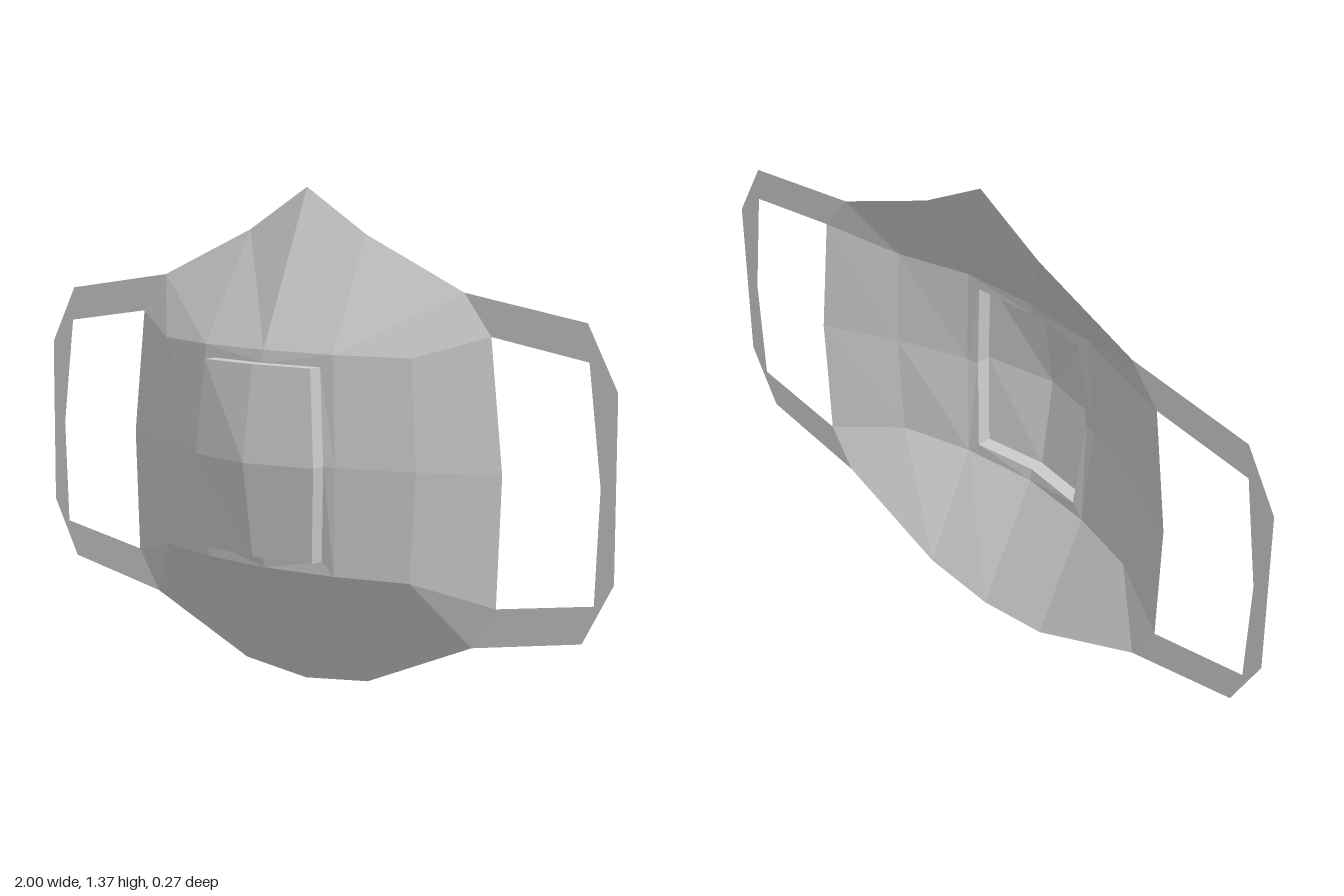
import * as THREE from 'three';

const material = new THREE.MeshStandardMaterial({ color: 0xcccccc, flatShading: true, side: THREE.DoubleSide });
const BACK = -0.135; // plane of the rim and the ear loops

// Half a row of points, from the centre outwards, mirrored to a full row
const mirrorRow = (half) => [...half.slice(1).reverse().map(([x, y, z]) => [-x, y, z]), ...half];

// Flat-shaded surface over rows of points (top to bottom, left to right)
function surface(name, rows, skip = () => false) {
  const pos = [];
  for (let r = 0; r < rows.length - 1; r++) {
    for (let c = 0; c < rows[r].length - 1; c++) {
      if (skip(r, c)) continue;
      const a = rows[r][c], b = rows[r][c + 1], d = rows[r + 1][c], e = rows[r + 1][c + 1];
      // mirror the diagonal on the other half
      const tris = a[0] + b[0] < 0 ? [[a, d, e], [a, e, b]] : [[a, d, b], [b, d, e]];
      for (const [p, q, s] of tris) if (p !== q && q !== s && s !== p) pos.push(...p, ...q, ...s);
    }
  }
  const geo = new THREE.BufferGeometry();
  geo.setAttribute('position', new THREE.Float32BufferAttribute(pos, 3));
  geo.computeVertexNormals();
  const mesh = new THREE.Mesh(geo, material);
  mesh.name = name;
  return mesh;
}

// Closed clockwise loop around a 3 x 3 block of points
const loopOf = (g) => [g[0][0], g[0][1], g[0][2], g[1][2], g[2][2], g[2][1], g[2][0], g[1][0], g[0][0]];

export function createModel() {
  const model = new THREE.Group();
  model.name = 'faceMask';

  // Shell: the top and bottom rows end in a repeated point, giving triangular corners
  const topCorner = [0.53, 1.11, BACK], bottomCorner = [0.567, 0.172, BACK];
  const rows = [
    [[0, 1.372, BACK], [0.205, 1.25, BACK], topCorner, topCorner],
    [[0, 0.94, 0.047], [0.225, 0.94, 0.03], [0.435, 0.94, -0.035], [0.617, 1.0, BACK]],
    [[0, 0.642, 0.092], [0.245, 0.642, 0.042], [0.455, 0.642, -0.033], [0.657, 0.642, BACK]],
    [[0, 0.343, 0.047], [0.225, 0.343, 0.022], [0.435, 0.343, -0.035], [0.643, 0.288, BACK]],
    [[0, 0, BACK], [0.22, 0.025, BACK], bottomCorner, bottomCorner],
  ].map((half) => {
    const row = mirrorRow(half);
    if (half[2] === half[3]) row[0] = row[1];
    return row;
  });
  const inMiddle = (r, c) => (r === 1 || r === 2) && (c === 2 || c === 3);
  model.add(surface('shell', rows, inMiddle));

  // Raised hollow panel in the middle opening, open at the back
  const opening = rows.slice(1, 4).map((row) => row.slice(2, 5));
  const inset = [
    [[0, 0.905, 0.052], [0.187, 0.905, 0.035]],
    [[0, 0.642, 0.092], [0.21, 0.642, 0.049]],
    [[0, 0.38, 0.052], [0.187, 0.38, 0.026]],
  ].map(mirrorRow);
  const raised = inset.map((row) => row.map(([x, y, z]) => [x, y, z + 0.042]));
  model.add(surface('panelBorder', [loopOf(opening), loopOf(inset)]));
  model.add(surface('panelSides', [loopOf(inset), loopOf(raised)]));
  model.add(surface('panelFront', raised));

  // Flat ear loops on both sides
  const loopOutline = [
    [0.53, 1.11], [0.908, 1.053], [1, 0.885], [1, 0.4], [0.908, 0.235], [0.567, 0.172],
    [0.643, 0.288], [0.942, 0.338], [0.955, 0.64], [0.915, 0.955], [0.617, 1.0],
  ];
  for (const [name, side] of [['leftEarLoop', 1], ['rightEarLoop', -1]]) {
    const shape = new THREE.Shape(loopOutline.map(([x, y]) => new THREE.Vector2(side * x, y)));
    const loop = new THREE.Mesh(new THREE.ShapeGeometry(shape), material);
    loop.name = name;
    loop.position.z = BACK;
    model.add(loop);
  }
  return model;
}
